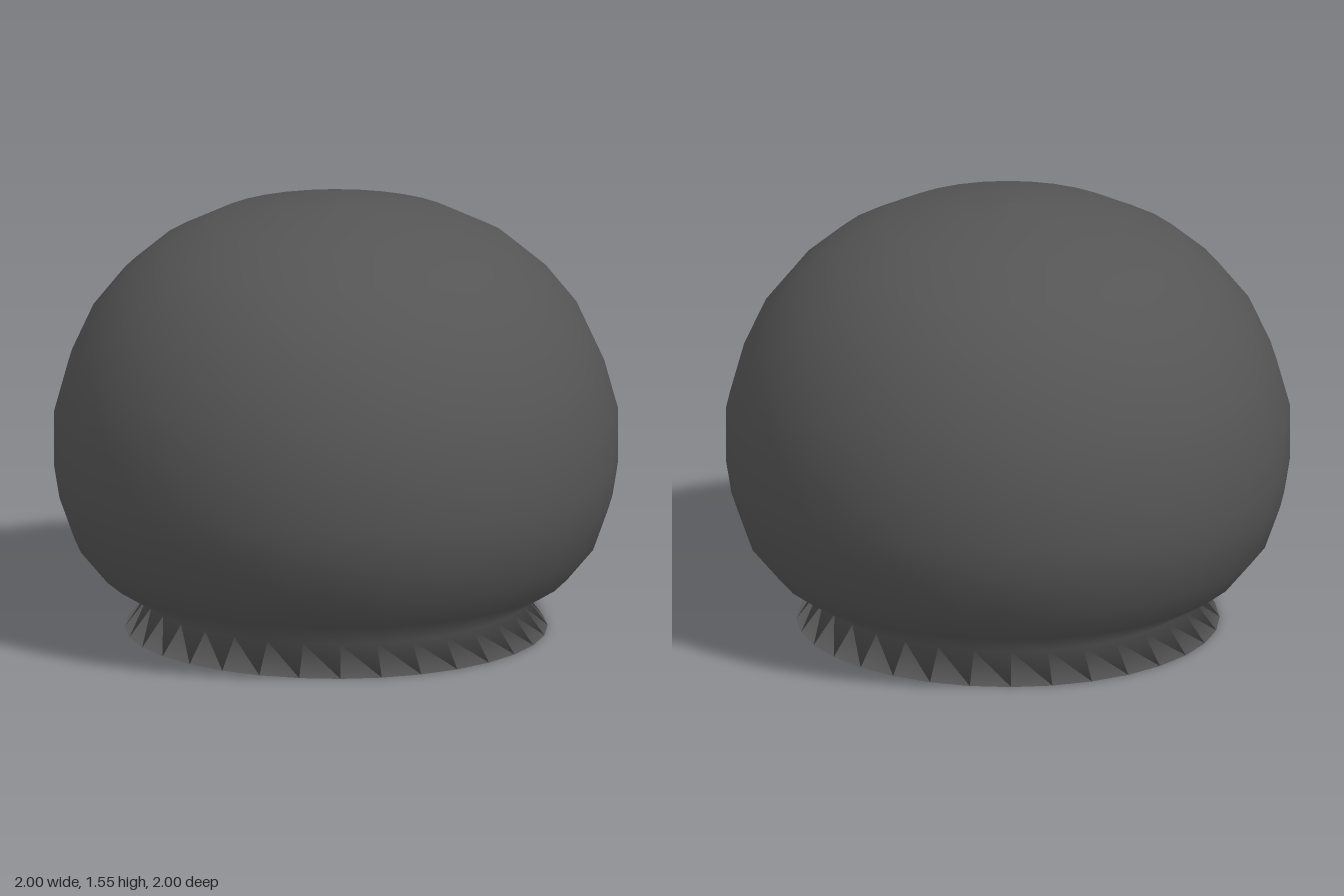
import * as THREE from 'three';

export function createModel() {
  const group = new THREE.Group();
  group.name = 'roundKnob';

  // Profile from the centre of the base, over the flared foot and neck, up to the crown
  const profile = [
    [0, 0], [0.75, 0], [0.67, 0.105],
    [0.83, 0.205], [0.925, 0.32], [0.98, 0.475], [1, 0.6], [1, 0.79],
    [0.95, 0.97], [0.872, 1.14], [0.76, 1.28], [0.63, 1.39],
    [0.44, 1.485], [0.21, 1.535], [0, 1.555],
  ].map(([r, y]) => new THREE.Vector2(r, y));

  // One smooth turned body, closed underneath
  const body = new THREE.Mesh(
    new THREE.LatheGeometry(profile, 32),
    new THREE.MeshStandardMaterial({ color: 0x555555 })
  );
  body.name = 'knobBody';
  group.add(body);

  return group;
}
